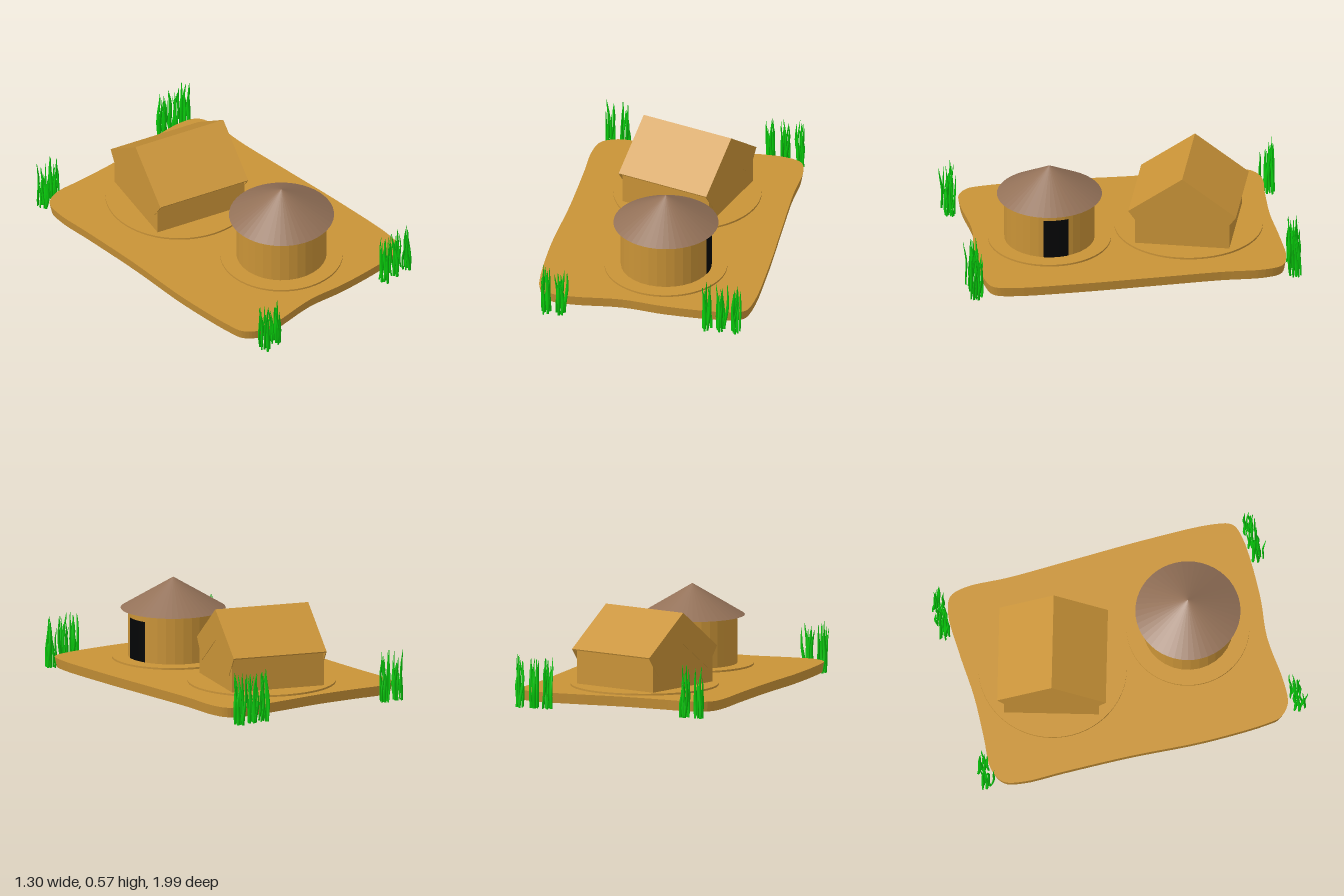
import * as THREE from 'three';
import { mergeGeometries } from 'three/addons/utils/BufferGeometryUtils.js';

const material = (name, color, side = THREE.FrontSide) => {
  const m = new THREE.MeshStandardMaterial({ color, side });
  m.name = name;
  return m;
};

export function createModel() {
  const model = new THREE.Group();
  model.name = 'village';
  const clay = material('clay', 0xc99337);
  const thatch = material('thatch', 0x937158);
  const black = material('doorBlack', 0x040506, THREE.DoubleSide);
  const green = material('grassGreen', 0x06c80a);

  const add = (parent, name, geometry, mat, x = 0, y = 0, z = 0) => {
    const mesh = new THREE.Mesh(geometry, mat);
    mesh.name = name;
    mesh.position.set(x, y, z);
    parent.add(mesh);
    return mesh;
  };
  // Gives every face its own normal
  const faceted = (g) => {
    const flat = g.toNonIndexed();
    flat.computeVertexNormals();
    return flat;
  };

  // Uneven ground slab with rounded corners, as [x, z] outline points
  const outline = [
    [-0.5, -0.905], [-0.3, -0.895], [-0.04, -0.885], [0.25, -0.9], [0.5, -0.9],
    [0.6, -0.86], [0.633, -0.76], [0.627, -0.5], [0.638, -0.1], [0.65, 0.35], [0.642, 0.74],
    [0.612, 0.85], [0.53, 0.885], [0.15, 0.895], [-0.12, 0.868], [-0.42, 0.892],
    [-0.55, 0.88], [-0.62, 0.82], [-0.638, 0.74], [-0.652, 0.35], [-0.63, -0.1], [-0.625, -0.5], [-0.625, -0.74],
    [-0.595, -0.855],
  ].map(([x, z]) => new THREE.Vector3(x, z, 0));
  const curve = new THREE.CatmullRomCurve3(outline, true);
  const ground = new THREE.ExtrudeGeometry(
    new THREE.Shape(curve.getPoints(120).slice(0, -1).map((p) => new THREE.Vector2(p.x, p.y))),
    { depth: 0.06, bevelEnabled: false });
  ground.rotateX(Math.PI / 2);
  // Sides lean in slightly towards the bottom
  const gp = ground.attributes.position;
  for (let i = 0; i < gp.count; i++) {
    if (gp.getY(i) < -0.03) gp.setXYZ(i, gp.getX(i) * 0.985, gp.getY(i), gp.getZ(i) * 0.99);
  }
  ground.computeVertexNormals();
  add(model, 'ground', ground, clay, 0, 0.091, 0);

  // Round hut on its plinth, door facing +x
  const hut = new THREE.Group();
  hut.name = 'roundHut';
  hut.position.set(0.055, 0, 0.435);
  model.add(hut);
  add(hut, 'hutPlinth', faceted(new THREE.CylinderGeometry(0.36, 0.36, 0.02, 64)), clay, 0, 0.092, 0);
  add(hut, 'hutWall', faceted(new THREE.CylinderGeometry(0.265, 0.265, 0.29, 32)), clay, 0, 0.243, 0);
  add(hut, 'hutRoof', faceted(new THREE.ConeGeometry(0.308, 0.185, 48)), thatch, 0, 0.4785, 0);
  add(hut, 'hutDoor', new THREE.CylinderGeometry(0.268, 0.268, 0.242, 12, 1, true, Math.PI / 2 - 0.275, 0.55),
    black, 0, 0.224, 0);

  // Gabled house, its ridge along local z
  const house = new THREE.Group();
  house.name = 'gabledHouse';
  house.position.set(0.0155, 0, -0.395);
  house.rotation.y = 1.29;
  model.add(house);
  add(house, 'housePlinth', faceted(new THREE.CylinderGeometry(0.435, 0.435, 0.02, 64)), clay, 0, 0.092, 0);
  const prism = (points, length) => {
    const g = new THREE.ExtrudeGeometry(new THREE.Shape(points.map(([x, y]) => new THREE.Vector2(x, y))),
      { depth: length, bevelEnabled: false });
    return g.translate(0, 0, -length / 2);
  };
  add(house, 'houseWalls',
    prism([[-0.278, 0.1], [0.278, 0.1], [0.278, 0.325], [0, 0.52], [-0.278, 0.325]], 0.572), clay);
  // Thin roof slopes, hollow below the eaves
  add(house, 'houseRoof',
    prism([[0, 0.542], [-0.318, 0.312], [-0.315, 0.305], [0, 0.533], [0.315, 0.305], [0.318, 0.312]], 0.578), clay);
  // Deep gable boards, cut square to the slope at the eaves
  for (const end of [1, -1]) {
    add(house, 'gableBoard',
      prism([[0, 0.54], [-0.318, 0.31], [-0.231, 0.19], [0, 0.357], [0.231, 0.19], [0.318, 0.31]], 0.005),
      clay, 0, 0, end * 0.2865);
  }

  // Grass tufts along the front and back edges
  let seed = 7;
  const rand = () => {
    seed = (seed * 16807) % 2147483647;
    return seed / 2147483647;
  };
  const blade = (x, z) => {
    const height = 0.22 + 0.095 * rand();
    const lean = rand() * Math.PI * 2, reach = 0.008 + 0.012 * rand(), phase = rand() * 6;
    const g = new THREE.CylinderGeometry(1, 1, 1, 12, 8);
    g.scale(0.0115, 1, 0.0065).rotateY((rand() - 0.5) * 2.4);
    const p = g.attributes.position;
    for (let i = 0; i < p.count; i++) {
      const t = p.getY(i) + 0.5;
      const width = 0.65 + 1.1 * t - 1.65 * t * t;
      const sway = reach * t + 0.006 * Math.sin(phase + t * 6);
      p.setXYZ(i, x + p.getX(i) * width + Math.cos(lean) * sway, 0.003 + t * height,
        z + p.getZ(i) * width + Math.sin(lean) * sway);
    }
    g.computeVertexNormals();
    return g;
  };
  for (const side of [1, -1]) {
    for (const x of [-0.558, -0.468, 0.402, 0.487, 0.577]) {
      const blades = [];
      for (let i = 0; i < 8; i++) {
        const a = i * 2.4, r = Math.sqrt((i + 0.5) / 8);
        blades.push(blade(x + Math.cos(a) * r * 0.03, side * 0.945 + Math.sin(a) * r * 0.034));
      }
      add(model, 'grassTuft', mergeGeometries(blades), green);
    }
  }
  return model;
}
